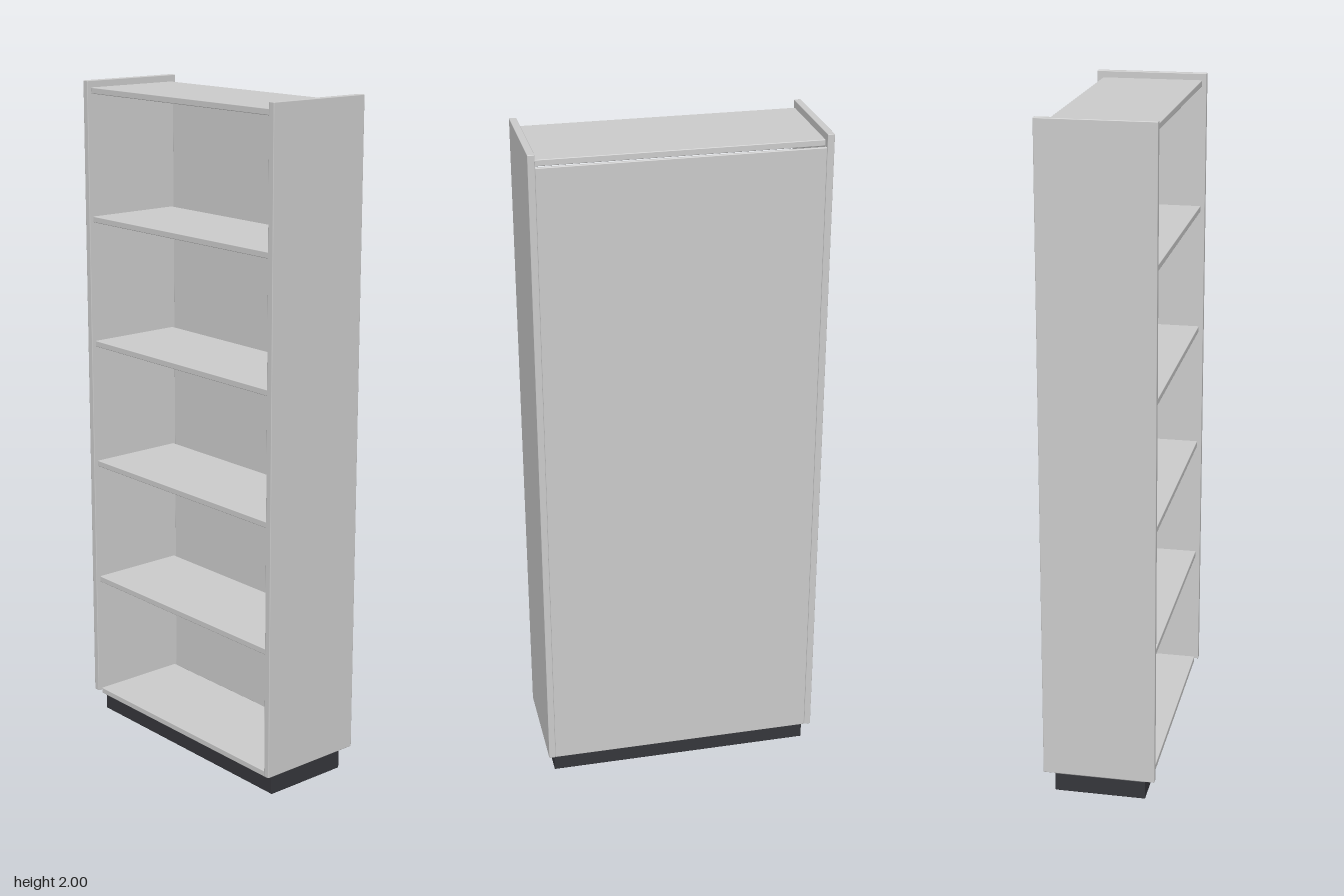
import * as THREE from 'three';
import { RoundedBoxGeometry } from 'three/addons/geometries/RoundedBoxGeometry.js';

const grey = new THREE.MeshStandardMaterial({ color: 0xcccccc });
const dark = new THREE.MeshStandardMaterial({ color: 0x35363b });

// Board with softened edges, given by its extents on each axis
function board(name, [x0, x1], [y0, y1], [z0, z1], material = grey) {
  const geometry = new RoundedBoxGeometry(x1 - x0, y1 - y0, z1 - z0, 2, 0.002);
  const mesh = new THREE.Mesh(geometry, material);
  mesh.position.set((x0 + x1) / 2, (y0 + y1) / 2, (z0 + z1) / 2);
  mesh.name = name;
  return mesh;
}

export function createModel() {
  const bookcase = new THREE.Group();
  bookcase.name = 'bookcase';

  // Recessed dark plinth
  bookcase.add(board('plinth', [-0.398, 0.398], [0, 0.057], [-0.135, 0.135], dark));

  // Tall side panels
  bookcase.add(board('leftSide', [0.398, 0.418], [0.068, 2], [-0.166, 0.166]));
  bookcase.add(board('rightSide', [-0.418, -0.398], [0.068, 2], [-0.166, 0.166]));

  // Back panel, set a little behind the shelves
  bookcase.add(board('backPanel', [-0.398, 0.398], [0.068, 1.963], [-0.165, -0.155]));

  // Six evenly spaced boards: bottom, four shelves and top
  const names = ['bottomBoard', 'shelf1', 'shelf2', 'shelf3', 'shelf4', 'topBoard'];
  names.forEach((name, i) => {
    const top = 0.075 + i * 0.381;
    bookcase.add(board(name, [-0.398, 0.398], [top - 0.018, top], [-0.148, 0.153]));
  });

  return bookcase;
}
